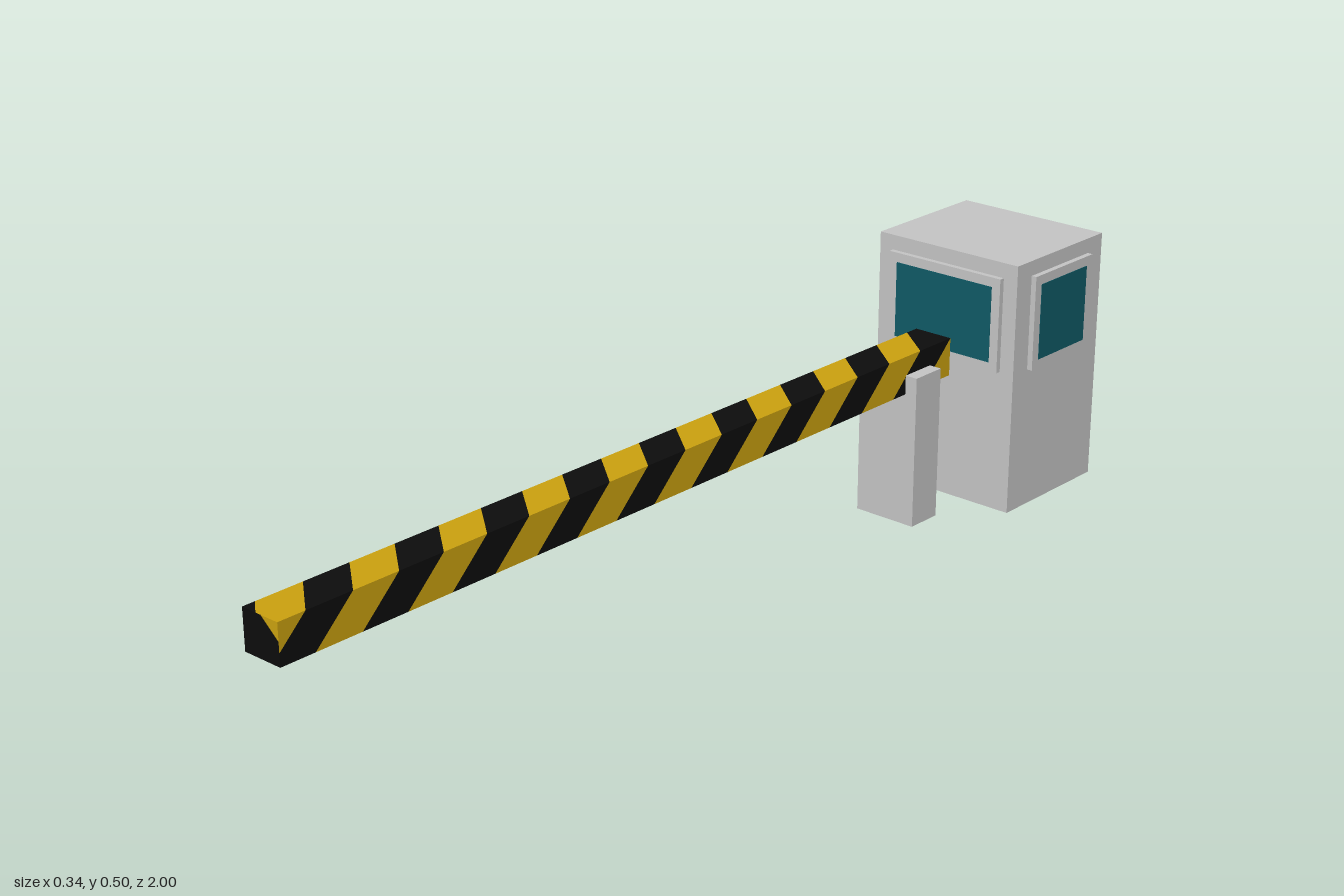
import * as THREE from 'three';

const grey = new THREE.MeshStandardMaterial({ name: 'light grey', color: 0xc3c3c3 });
const teal = new THREE.MeshStandardMaterial({ name: 'teal glass', color: 0x0f5965 });
const yellow = new THREE.MeshStandardMaterial({ name: 'warning yellow', color: 0xc9a00f });
const black = new THREE.MeshStandardMaterial({ name: 'stripe black', color: 0x0c0c0c });

function box(name, mat, [x0, x1], [y0, y1], [z0, z1]) {
  const mesh = new THREE.Mesh(new THREE.BoxGeometry(x1 - x0, y1 - y0, z1 - z0), mat);
  mesh.position.set((x0 + x1) / 2, (y0 + y1) / 2, (z0 + z1) / 2);
  mesh.name = name;
  return mesh;
}

// Booth: a tube open on the left side, closed by the right wall
function createBooth() {
  const booth = new THREE.Group();
  booth.name = 'booth';
  const [x0, x1, h, zc, half, t] = [-0.171, 0.157, 0.505, -0.848, 0.14, 0.025];
  const rect = (path, w, lo, hi) =>
    path.setFromPoints([[-w, lo], [w, lo], [w, hi], [-w, hi]].map(p => new THREE.Vector2(...p)));
  const shape = rect(new THREE.Shape(), half, 0, h);
  shape.holes.push(rect(new THREE.Path(), half - t, t, h - t));
  const geo = new THREE.ExtrudeGeometry(shape, { depth: x1 - x0 - t, bevelEnabled: false });
  const shell = new THREE.Mesh(geo.rotateY(Math.PI / 2), grey);
  shell.position.set(x0, 0, zc);
  shell.name = 'boothShell';
  booth.add(shell, box('rightWall', grey, [x1 - t, x1], [0, h], [zc - half, zc + half]));

  // Windows: a raised frame with a thin pane
  const addWindow = (name, width, x, z, angle) => {
    const win = new THREE.Group();
    win.name = name;
    win.add(box('windowFrame', grey, [-width / 2, width / 2], [0.286, 0.475], [-0.005, 0.011]));
    win.add(box('windowPane', teal, [-width / 2 + 0.019, width / 2 - 0.019], [0.304, 0.456], [0.007, 0.012]));
    win.position.set(x, 0, z);
    win.rotation.y = angle;
    booth.add(win);
  };
  addWindow('frontWindow', 0.265, -0.007, zc + half, 0);
  addWindow('backWindow', 0.265, -0.007, zc - half, Math.PI);
  addWindow('rightWindow', 0.188, x1, zc, Math.PI / 2);
  return booth;
}

// Barrier arm: slanted stripes wound around the four long faces
function createArm() {
  const arm = new THREE.Group();
  arm.name = 'barrierArm';
  const [x0, x1, y0, y1, z0, z1, period] = [-0.048, 0.034, 0.267, 0.343, -0.67, 1, 0.19];
  const points = { yellow: [], black: [] };
  const fan = (colour, poly) => {
    for (let i = 1; i + 1 < poly.length; i++) {
      points[colour].push(...poly[0], ...poly[i], ...poly[i + 1]);
    }
  };
  // Cut a polygon of [v, z] at z = limit, keeping the side given by sign
  const clip = (poly, limit, sign) => poly.flatMap((a, i) => {
    const b = poly[(i + 1) % poly.length];
    const da = sign * (limit - a[1]), db = sign * (limit - b[1]);
    const out = da >= 0 ? [a] : [];
    if (da * db < 0) out.push([a[0] + (b[0] - a[0]) * da / (da - db), limit]);
    return out;
  });
  // Edges run clockwise seen from the front; "start" is a stripe edge at v = 0
  const faces = [
    { a: [x0, y1], b: [x1, y1], start: 0.88, shift: 0.065 },
    { a: [x1, y1], b: [x1, y0], start: 0.945, shift: 0.08 },
    { a: [x1, y0], b: [x0, y0], start: 1.025, shift: 0.065 },
    { a: [x0, y0], b: [x0, y1], start: 0.8, shift: 0.08 },
  ];
  for (const { a, b, start, shift } of faces) {
    for (let i = -22; i < 6; i++) {
      const z = start + i * period / 2, w = period / 2;
      let poly = [[0, z], [0, z + w], [1, z + w + shift], [1, z + shift]];
      poly = clip(clip(poly, z1, 1), z0, -1);
      fan(i % 2 ? 'black' : 'yellow',
        poly.map(([v, pz]) => [a[0] + (b[0] - a[0]) * v, a[1] + (b[1] - a[1]) * v, pz]));
    }
  }
  // End caps, the front one with a yellow corner
  fan('black', [[x0, y0, z1], [x1, y0, z1], [x1, 0.31, z1], [-0.005, y1, z1], [x0, y1, z1]]);
  fan('yellow', [[x1, 0.31, z1], [x1, y1, z1], [-0.005, y1, z1]]);
  fan('black', [[x1, y0, z0], [x0, y0, z0], [x0, y1, z0], [x1, y1, z0]]);

  for (const [colour, mat] of [['yellow', yellow], ['black', black]]) {
    const geo = new THREE.BufferGeometry();
    geo.setAttribute('position', new THREE.Float32BufferAttribute(points[colour], 3));
    geo.computeVertexNormals();
    const mesh = new THREE.Mesh(geo, mat);
    mesh.name = colour + 'Stripes';
    arm.add(mesh);
  }
  return arm;
}

export function createModel() {
  const model = new THREE.Group();
  model.name = 'barrierGate';
  model.add(createBooth(), createArm());
  model.add(box('supportPost', grey, [-0.075, 0.06], [0, 0.305], [-0.607, -0.532]));
  return model;
}
